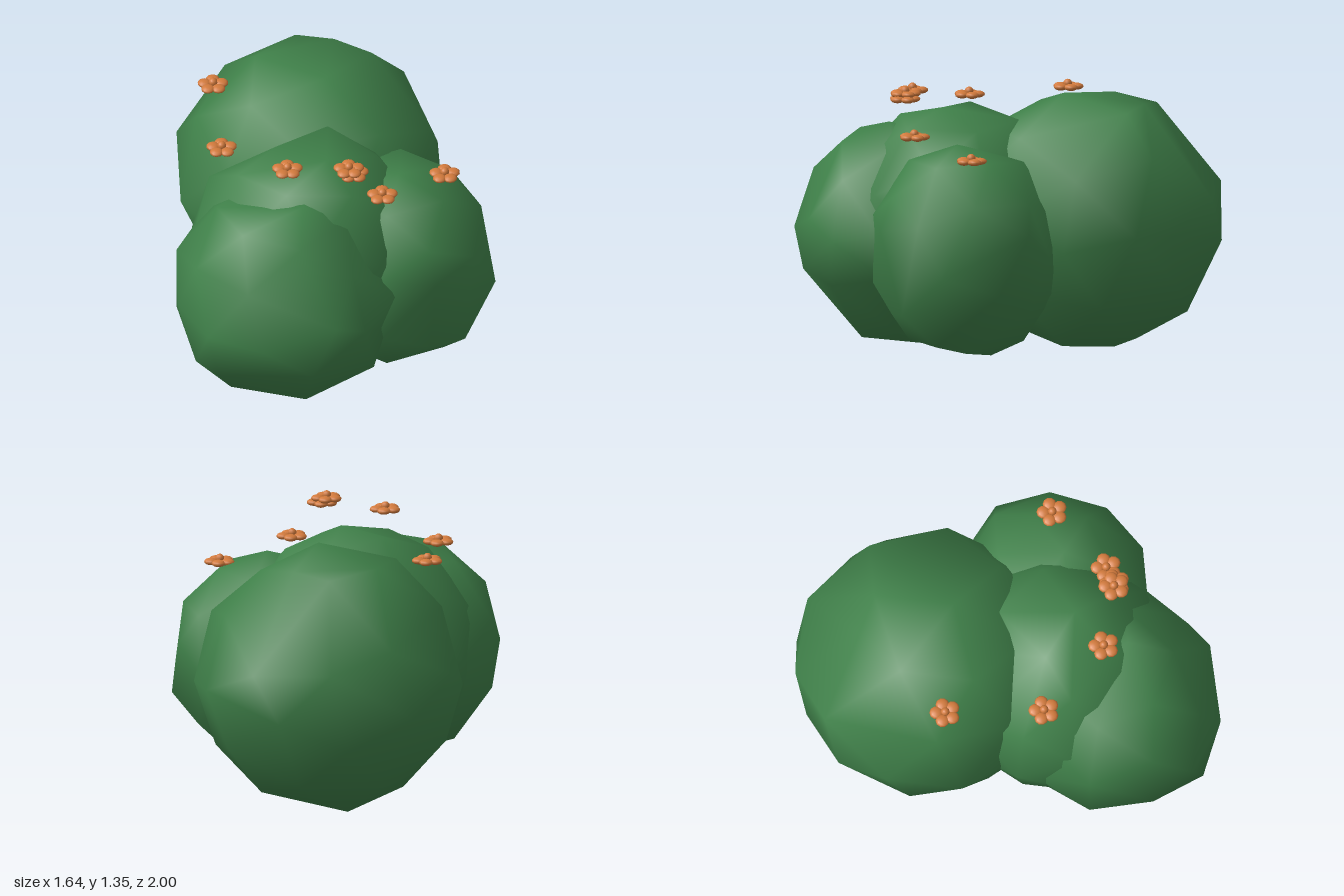
import * as THREE from 'three';
import { mergeVertices } from 'three/addons/utils/BufferGeometryUtils.js';

// Low-poly rounded clump; the nearest free vertex to each given corner is pulled onto it
function clumpGeometry({ center, radii, turn = 0, tilt = 0, corners }) {
  let geo = new THREE.IcosahedronGeometry(1, 1);
  geo.deleteAttribute('uv');
  geo.deleteAttribute('normal');
  geo = mergeVertices(geo, 1e-3);
  geo.rotateY(turn);
  geo.rotateX(tilt);
  geo.scale(...radii);
  geo.translate(...center);
  const pos = geo.attributes.position;
  const v = new THREE.Vector3();
  const used = new Set();
  for (const c of corners) {
    const target = new THREE.Vector3(...c);
    let best = 0, bestDist = Infinity;
    for (let i = 0; i < pos.count; i++) {
      const d = v.fromBufferAttribute(pos, i).distanceTo(target);
      if (d < bestDist && !used.has(i)) { bestDist = d; best = i; }
    }
    used.add(best);
    pos.setXYZ(best, ...c);
  }
  geo.computeVertexNormals();
  return geo;
}

export function createModel() {
  const leaf = new THREE.MeshStandardMaterial({ color: 0x3f8049 });
  leaf.name = 'leaf green';
  const orange = new THREE.MeshStandardMaterial({ color: 0xd27a3c });
  orange.name = 'blossom orange';

  const bush = new THREE.Group();
  bush.name = 'floweringBush';

  // Foliage clumps
  const clumps = {
    backClump: {
      center: [0.15, 0.66, -0.34], radii: [0.67, 0.66, 0.67], tilt: 0.21,
      corners: [
        [0.18, 1.3, -0.2], [0.5, 1.23, -0.41], [0.2, 1.23, -0.68], [0.24, 0.83, -1],
        [0.08, 0.005, -0.5], [0.79, 0.66, -0.53], [0.6, 0.8, -0.82],
        [-0.51, 0.6, -0.38], [-0.4, 0.75, -0.74], [-0.07, 0.93, -0.95]],
    },
    middleClump: {
      center: [-0.08, 0.64, 0.25], radii: [0.6, 0.62, 0.58], turn: 0.9,
      corners: [[-0.02, 1.23, 0.36], [-0.2, 1.22, 0.15], [-0.08, 0.02, 0.1]],
    },
    frontLeftClump: {
      center: [-0.29, 0.59, 0.46], radii: [0.55, 0.56, 0.55], turn: 0.5,
      corners: [
        [-0.82, 0.6, 0.43], [-0.74, 0.4, 0.79], [-0.2, 0.68, 1], [-0.22, 1.14, 0.57],
        [0.2, 0.65, 0.78], [0.01, 0.38, 0.96], [-0.57, 0.09, 0.5], [-0.25, 0.07, 0.7],
        [-0.15, 0.03, 0.35]],
    },
    frontRightClump: {
      center: [0.33, 0.57, 0.37], radii: [0.5, 0.55, 0.48], turn: 0.1,
      corners: [
        [0.82, 0.41, 0.38], [0.81, 0.7, 0.22], [0.38, 0.7, 0.84], [0.76, 0.5, 0.65],
        [0.34, 1.1, 0.42], [0.55, 0.3, 0.79], [0.54, 0.09, 0.45], [0.36, 0.045, 0.25]],
    },
  };
  for (const [name, spec] of Object.entries(clumps)) {
    const mesh = new THREE.Mesh(clumpGeometry(spec), leaf);
    mesh.name = name;
    bush.add(mesh);
  }

  // Blossoms: five flattened petals round a small raised heart
  const petalGeo = new THREE.SphereGeometry(0.034, 10, 8).scale(1, 0.5, 1);
  const heartGeo = new THREE.SphereGeometry(0.022, 10, 8);
  const places = [
    [-0.33, 1.245, -0.41], [-0.457, 1.213, 0.06], [-0.25, 1.285, 0.435],
    [0.02, 1.315, 0.575], [0.04, 1.292, 0.585], [0.19, 1.125, 0.59], [0.573, 1.052, 0.435],
  ];
  places.forEach((p, n) => {
    const blossom = new THREE.Group();
    blossom.name = `blossom${n + 1}`;
    for (let i = 0; i < 5; i++) {
      const a = (i / 5) * Math.PI * 2;
      const petal = new THREE.Mesh(petalGeo, orange);
      petal.name = 'petal';
      petal.position.set(Math.cos(a) * 0.044, 0, Math.sin(a) * 0.044);
      blossom.add(petal);
    }
    const heart = new THREE.Mesh(heartGeo, orange);
    heart.name = 'blossomHeart';
    heart.position.y = 0.015;
    blossom.add(heart);
    blossom.position.set(...p);
    bush.add(blossom);
  });

  return bush;
}
